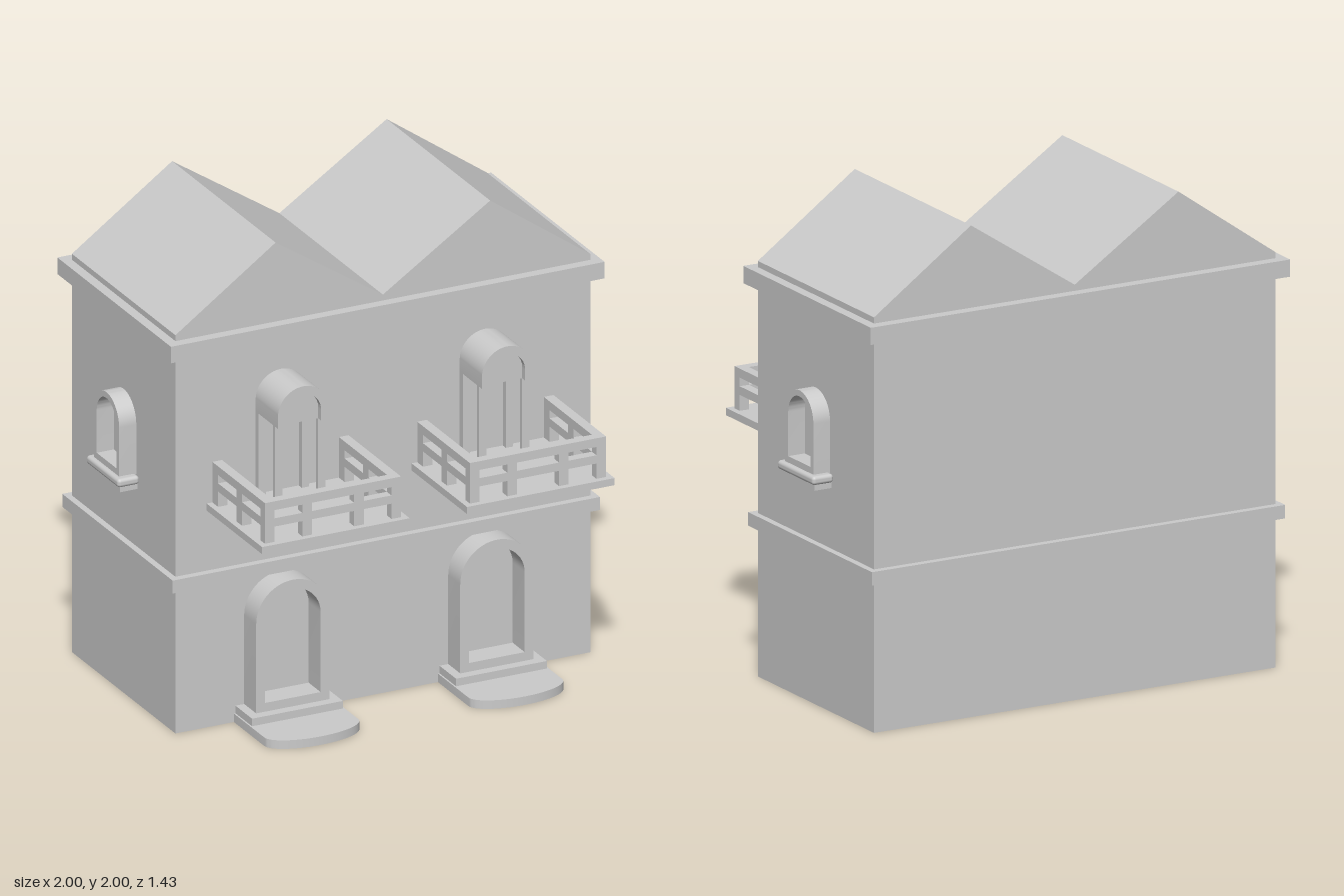
import * as THREE from 'three';
import { toCreasedNormals } from 'three/addons/utils/BufferGeometryUtils.js';
import { RoundedBoxGeometry } from 'three/addons/geometries/RoundedBoxGeometry.js';

const material = new THREE.MeshStandardMaterial({ color: 0xcccccc });
const FRONT = 0.235, BACK = -0.67, SIDE = 0.905;

function add(parent, name, geometry) {
  const mesh = new THREE.Mesh(geometry, material);
  mesh.name = name;
  parent.add(mesh);
  return mesh;
}

// Box given by its limits on each axis
function box(parent, name, x0, x1, y0, y1, z0, z1) {
  const mesh = add(parent, name, new THREE.BoxGeometry(x1 - x0, y1 - y0, z1 - z0));
  mesh.position.set((x0 + x1) / 2, (y0 + y1) / 2, (z0 + z1) / 2);
  return mesh;
}

// Shape pushed along z from z0 to z1
function extrude(parent, name, shape, z0, z1) {
  const geometry = new THREE.ExtrudeGeometry(shape, { depth: z1 - z0, bevelEnabled: false, curveSegments: 20 });
  geometry.translate(0, 0, z0);
  return add(parent, name, toCreasedNormals(geometry, 0.5));
}

// Round-topped outline of half width r
function arch(r, bottom, top, Type = THREE.Shape) {
  const path = new Type();
  path.moveTo(-r, bottom);
  path.lineTo(r, bottom);
  path.lineTo(r, top - r);
  path.absarc(0, top - r, r, 0, Math.PI, false);
  path.closePath();
  return path;
}

function archFrame(r, bottom, top, innerR, innerBottom, innerTop) {
  const shape = arch(r, bottom, top);
  shape.holes.push(arch(innerR, innerBottom, innerTop, THREE.Path));
  return shape;
}

// Ground floor doorway with two steps
function createEntrance() {
  const g = new THREE.Group();
  g.name = 'entrance';
  extrude(g, 'doorFrame', archFrame(0.16, 0.065, 0.605, 0.121, 0.105, 0.565), FRONT, 0.34);
  box(g, 'upperStep', -0.198, 0.198, 0.035, 0.068, FRONT, 0.38);
  const step = new THREE.Shape();
  step.moveTo(0.205, -FRONT);
  step.lineTo(0.205, -0.5);
  step.absellipse(0, -0.5, 0.205, 0.09, 0, -Math.PI, true);
  step.lineTo(-0.205, -FRONT);
  step.closePath();
  extrude(g, 'lowerStep', step, 0, 0.036).rotation.x = -Math.PI / 2;
  return g;
}

// Balcony floor with a railing on three sides
function createBalcony() {
  const g = new THREE.Group();
  g.name = 'balcony';
  box(g, 'balconyFloor', -0.322, 0.322, 0.92, 0.95, FRONT, 0.72);
  const outer = 0.297, inner = 0.255, front = 0.695, frontInner = 0.655;
  for (const [y0, y1] of [[1.015, 1.05], [1.085, 1.122]]) {
    box(g, 'frontRail', -outer, outer, y0, y1, frontInner, front);
    for (const s of [-1, 1]) {
      const x = s * (outer + inner) / 2;
      box(g, 'sideRail', x - 0.021, x + 0.021, y0, y1, FRONT, frontInner);
    }
  }
  for (const s of [-1, 1]) {
    const x = s * (outer + inner) / 2;
    for (const [z0, z1] of [[FRONT, 0.285], [0.445, 0.495], [frontInner, front]])
      box(g, 'sidePost', x - 0.021, x + 0.021, 0.95, 1.12, z0, z1);
    box(g, 'frontPost', s * 0.113 - 0.021, s * 0.113 + 0.021, 0.95, 1.12, frontInner, front);
  }
  return g;
}

// Arched canopy on slim columns above the balcony
function createCanopy() {
  const g = new THREE.Group();
  g.name = 'canopy';
  const hood = new THREE.Shape();
  hood.moveTo(0.11, 1.3);
  hood.lineTo(0.11, 1.35);
  hood.absarc(0, 1.35, 0.11, 0, Math.PI, false);
  hood.lineTo(-0.11, 1.3);
  hood.lineTo(-0.078, 1.3);
  hood.lineTo(-0.078, 1.347);
  hood.absarc(0, 1.347, 0.078, Math.PI, 0, true);
  hood.lineTo(0.078, 1.3);
  hood.closePath();
  extrude(g, 'canopyHood', hood, FRONT, 0.43);
  extrude(g, 'canopyPanel', arch(0.078, 1.3, 1.425), FRONT, 0.405);
  for (const s of [-1, 1])
    for (const [z0, z1] of [[FRONT, 0.262], [0.385, 0.405]])
      box(g, 'canopyColumn', s * 0.094 - 0.016, s * 0.094 + 0.016, 0.95, 1.3, z0, z1);
  return g;
}

// Side window, built facing +z from the wall plane
function createWindow() {
  const g = new THREE.Group();
  g.name = 'sideWindow';
  extrude(g, 'windowFrame', archFrame(0.11, 0.97, 1.29, 0.086, 1.0, 1.265), 0, 0.075);
  const sill = add(g, 'windowSill', new RoundedBoxGeometry(0.284, 0.036, 0.095, 3, 0.014));
  sill.position.set(0, 0.956, 0.0475);
  box(g, 'sillBase', -0.122, 0.122, 0.912, 0.94, 0, 0.076);
  return g;
}

export function createModel() {
  const model = new THREE.Group();
  model.name = 'house';

  // Walls and mouldings
  box(model, 'walls', -SIDE, SIDE, 0, 1.63, BACK, FRONT);
  box(model, 'floorBand', -0.932, 0.932, 0.61, 0.665, -0.7, 0.265);
  box(model, 'cornice', -0.946, 0.946, 1.595, 1.665, -0.715, 0.278);

  // Twin gable roof
  const roof = new THREE.Shape([
    [-SIDE, 1.66], [SIDE, 1.66], [SIDE, 1.69], [0.468, 2], [0, 1.69], [-0.468, 2], [-SIDE, 1.69],
  ].map(([x, y]) => new THREE.Vector2(x, y)));
  extrude(model, 'roof', roof, BACK, FRONT);

  for (const s of [-1, 1]) {
    const parts = [[createEntrance(), 0.445], [createBalcony(), 0.447], [createCanopy(), 0.445]];
    for (const [part, x] of parts) {
      part.position.x = s * x;
      model.add(part);
    }
    const win = createWindow();
    win.rotation.y = s * Math.PI / 2;
    win.position.set(s * SIDE, 0, -0.217);
    model.add(win);
  }
  return model;
}
